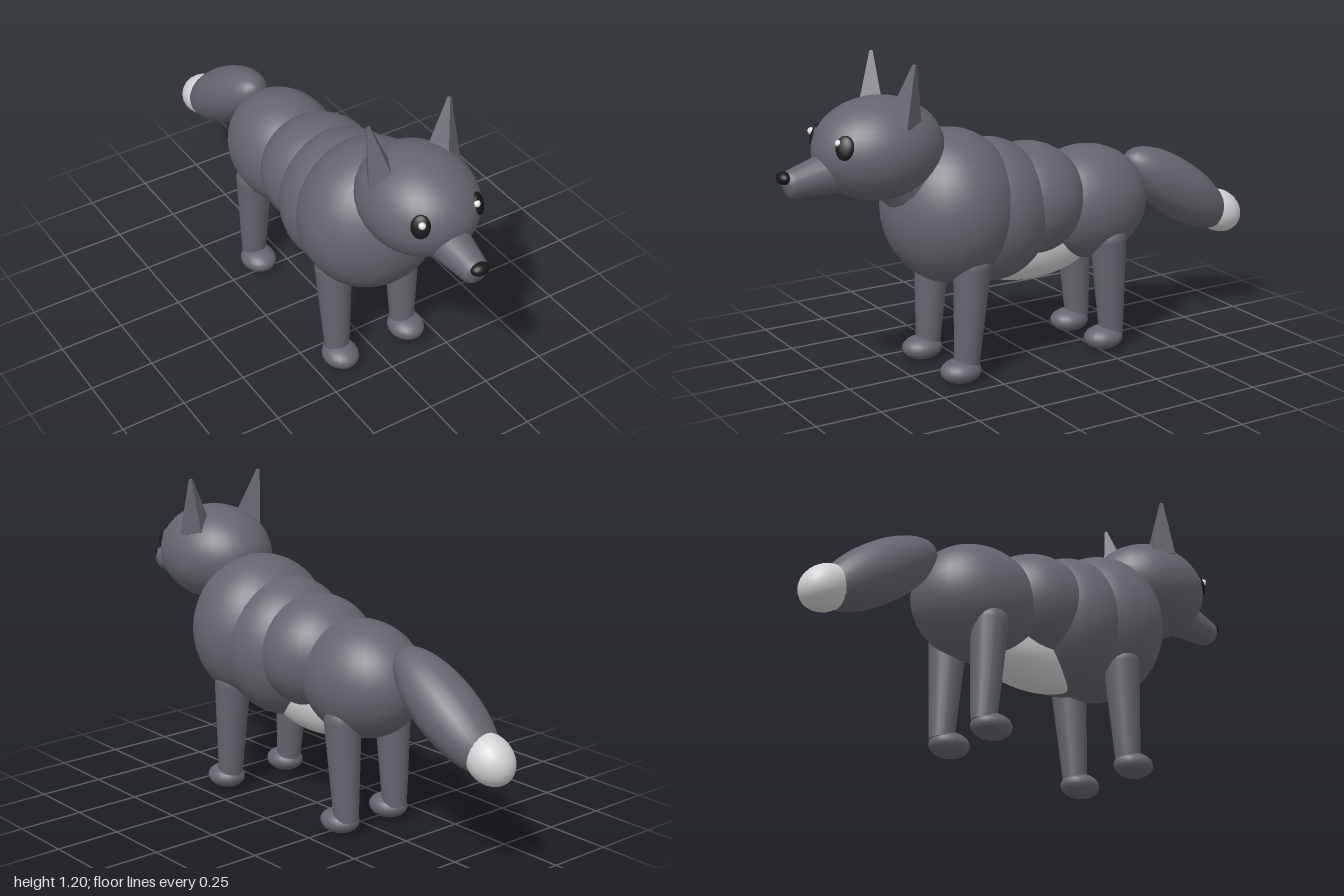
import * as THREE from 'three';

const mat = (name, color) => {
  const m = new THREE.MeshStandardMaterial({ color });
  m.name = name;
  return m;
};

export function createModel() {
  const fur = mat('grey fur', 0x65656f);
  const pale = mat('pale fur', 0xd2d2d4);
  const black = mat('black', 0x18181a);
  const white = mat('eye white', 0xffffff);
  const model = new THREE.Group();
  model.name = 'canine';
  const UP = new THREE.Vector3(0, 1, 0);
  const V = (p) => new THREE.Vector3(...p);

  const add = (name, geo, material, pos) => {
    const mesh = new THREE.Mesh(geo, material);
    mesh.name = name;
    mesh.position.set(...pos);
    model.add(mesh);
    return mesh;
  };
  const ellipsoid = (name, material, pos, radii, w = 32, h = 22) =>
    add(name, new THREE.SphereGeometry(1, w, h).scale(...radii), material, pos);
  // tapered limb running from point a (radius ra) to point b (radius rb)
  const limb = (name, material, a, b, ra, rb, sides = 20) => {
    const A = V(a), B = V(b), dir = B.clone().sub(A);
    const geo = new THREE.CylinderGeometry(rb, ra, dir.length(), sides);
    const mesh = add(name, geo, material, A.clone().add(B).multiplyScalar(0.5).toArray());
    mesh.quaternion.setFromUnitVectors(UP, dir.normalize());
    return mesh;
  };

  // overlapping torso segments, chest to hips
  ellipsoid('chest', fur, [0, 0.635, 0.33], [0.272, 0.286, 0.25]);
  ellipsoid('ribcage', fur, [0, 0.598, 0.17], [0.25, 0.268, 0.23]);
  ellipsoid('waist', fur, [0, 0.615, 0], [0.224, 0.214, 0.22]);
  ellipsoid('hips', fur, [0, 0.567, -0.26], [0.205, 0.218, 0.25]);
  ellipsoid('belly', pale, [0, 0.44, -0.01], [0.11, 0.14, 0.29]);

  // neck and head
  limb('neck', fur, [0, 0.7, 0.42], [0, 0.82, 0.525], 0.145, 0.14);
  ellipsoid('head', fur, [0, 0.885, 0.613], [0.205, 0.185, 0.242]);

  // snout with a rounded tip, tilted slightly down
  const profile = [[0.085, 0], [0.052, 0.2], [0.048, 0.218], [0.036, 0.23], [0, 0.236]];
  const snout = add('snout', new THREE.LatheGeometry(profile.map((p) => new THREE.Vector2(...p)), 20),
    fur, [0, 0.829, 0.742]);
  snout.rotation.x = Math.PI / 2 + 0.15;
  ellipsoid('nose', black, [0, 0.823, 0.975], [0.035, 0.023, 0.025], 20, 14);

  for (const s of [1, -1]) {
    const side = s > 0 ? 'left' : 'right';

    // ears: slim four-sided spikes
    const ear = new THREE.CylinderGeometry(0.008, 0.066, 0.215, 4).rotateY(s * -0.28).toNonIndexed();
    ear.computeVertexNormals();
    const earMesh = add(side + 'Ear', ear, fur, [s * 0.144, 1.094, 0.562]);
    earMesh.quaternion.setFromUnitVectors(UP, V([s * 0.038, 0.2, -0.025]).normalize());

    // eyes lie against the head
    const eye = ellipsoid(side + 'Eye', black, [s * 0.118, 0.93, 0.798], [0.034, 0.043, 0.015], 20, 14);
    eye.lookAt(s * 0.118 + s * 2.81, 0.93 + 1.31, 0.798 + 3.16);
    ellipsoid(side + 'EyeGlint', white, [s * 0.111 - 0.011, 0.945, 0.812], [0.013, 0.013, 0.013], 12, 8);

    // legs with round shoulders and oval paws
    const legs = [
      ['Front', [0.15, 0.44, 0.322], [0.147, 0.06, 0.347], [0.148, 0.05, 0.372]],
      ['Hind', [0.122, 0.44, -0.288], [0.12, 0.06, -0.308], [0.12, 0.05, -0.273]],
    ];
    for (const [end, top, ankle, paw] of legs) {
      const m = ([x, y, z]) => [s * x, y, z];
      limb(side + end + 'Leg', fur, m(ankle), m(top), 0.046, 0.069);
      ellipsoid(side + end + 'LegTop', fur, m(top), [0.069, 0.069, 0.069], 20, 14);
      ellipsoid(side + end + 'Paw', fur, m(paw), [0.068, 0.045, 0.078], 20, 14);
    }
  }

  // drooping tail and its pale tip
  const tailDir = V([0, -0.57, -0.82]).normalize();
  const tail = ellipsoid('tail', fur, [0, 0.555, -0.692], [0.118, 0.285, 0.112], 24, 20);
  const tip = ellipsoid('tailTip', pale, [0, 0.432, -0.905], [0.083, 0.102, 0.083], 20, 14);
  for (const part of [tail, tip]) part.quaternion.setFromUnitVectors(UP, tailDir);

  return model;
}
